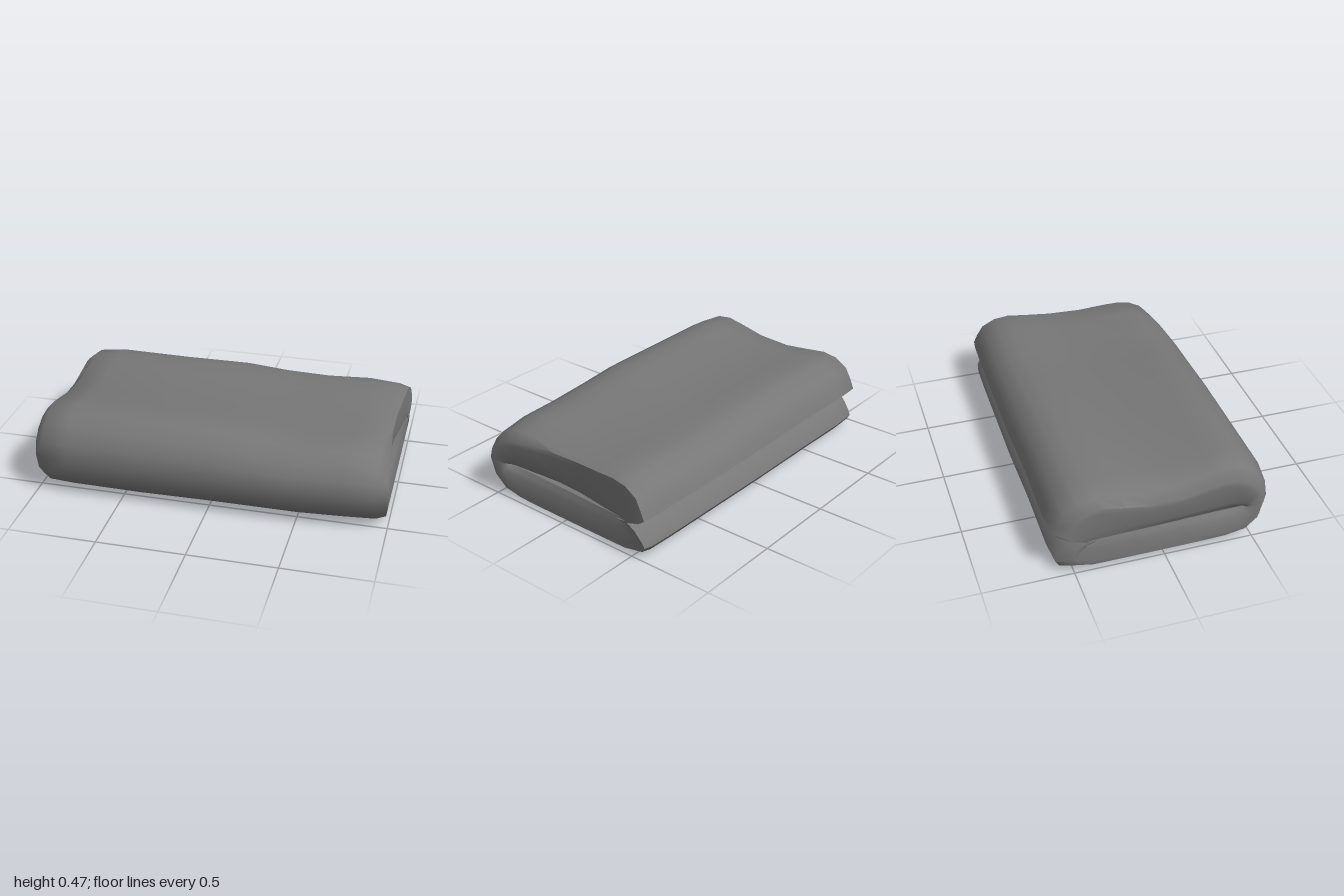
import * as THREE from 'three';
import { toCreasedNormals } from 'three/addons/utils/BufferGeometryUtils.js';

// Folded cross-section [z, y]: front roll, over the top, back fold notch, underside
const SECTION = [
  [0.615, 0.23], [0.60, 0.33], [0.54, 0.41], [0.46, 0.46], [0.37, 0.475], [0.28, 0.468],
  [0.10, 0.445], [-0.10, 0.435], [-0.25, 0.442], [-0.38, 0.45], [-0.47, 0.435], [-0.55, 0.385],
  [-0.59, 0.31], [-0.612, 0.255], [-0.57, 0.22], [-0.49, 0.193], [-0.54, 0.16], [-0.59, 0.095],
  [-0.602, 0.065], [-0.58, 0.032], [-0.45, 0.003], [-0.1, 0.003], [0.2, 0.005], [0.38, 0.01],
  [0.51, 0.035], [0.585, 0.11],
];

// Sag of the cloth along x: [x, top front, top middle, top back, front scale, back scale, bottom lift]
const STATIONS = [
  [-1.0, -0.06, -0.10, -0.05, 0.90, 0.88, 0.035],
  [-0.95, -0.005, -0.045, -0.015, 0.96, 0.98, 0.0],
  [-0.8, 0.003, -0.01, 0.003, 1.0, 1.0, 0.005],
  [-0.4, 0.0, 0.0, 0.0, 1.0, 0.99, 0.0],
  [0.0, -0.004, -0.005, 0.0, 1.0, 1.0, 0.006],
  [0.25, -0.03, -0.015, -0.022, 1.0, 0.995, 0.006],
  [0.5, -0.05, -0.025, -0.028, 1.0, 0.99, 0.006],
  [0.75, -0.042, -0.03, -0.012, 0.965, 0.985, 0.006],
  [0.93, -0.062, -0.04, -0.025, 0.93, 0.975, 0.006],
  [0.98, -0.105, -0.05, -0.04, 0.875, 0.96, 0.015],
];

// Rings that close each end into a shallow pressed fold: [z scale, y scale, depth]
const END_RINGS = [[0.95, 0.85, 0.0], [0.88, 0.3, 0.006], [0.84, 0.14, 0.018], [0.82, 0.02, 0.03]];
const FOLD_Y = 0.19;

function ring([x, front, mid, back, frontScale, backScale, lift]) {
  return SECTION.map(([z, y]) => {
    const t = THREE.MathUtils.clamp(z / 0.4, -1, 1);
    const sag = mid + (t > 0 ? front - mid : back - mid) * Math.abs(t);
    const upper = Math.max(0, (y - 0.2) / 0.26);
    const lower = Math.max(0, 1 - y / 0.2);
    // the right end bulges at mid height and its top edge curves inward
    const bulge = x > 0.95 ? 0.02 * Math.sin(Math.PI * y / 0.48) - 0.04 * upper * (1 - Math.abs(t)) : 0;
    return [x + bulge, y + sag * upper + lift * lower, z * (z > 0 ? frontScale : backScale)];
  });
}

// The pressed fold is deepest towards the front roll
function endRings(edge, side) {
  return END_RINGS.map(([sz, sy, depth]) => edge.map(([x, y, z]) => [
    x - side * depth * (0.9 + z), FOLD_Y + (y - FOLD_Y) * sy, z * sz,
  ]));
}

// Skin a sequence of closed rings running from -x to +x
function loft(rings) {
  const n = SECTION.length;
  const index = [];
  for (let i = 0; i < rings.length - 1; i++) {
    for (let j = 0; j < n; j++) {
      const k = (j + 1) % n;
      const a = i * n + j, b = a + n, c = (i + 1) * n + k, d = i * n + k;
      index.push(a, b, c, a, c, d);
    }
  }
  const geometry = new THREE.BufferGeometry();
  geometry.setAttribute('position', new THREE.Float32BufferAttribute(rings.flat(2), 3));
  geometry.setIndex(index);
  return toCreasedNormals(geometry, 0.95);
}

export function createModel() {
  const group = new THREE.Group();
  group.name = 'foldedCloth';

  const body = STATIONS.map(ring);
  const leftCap = endRings(body[0], -1).reverse();
  const rightCap = endRings(body[body.length - 1], 1);

  const material = new THREE.MeshStandardMaterial({ color: 0x777777, side: THREE.DoubleSide });
  const cloth = new THREE.Mesh(loft([...leftCap, ...body, ...rightCap]), material);
  cloth.name = 'cloth';
  group.add(cloth);
  return group;
}
